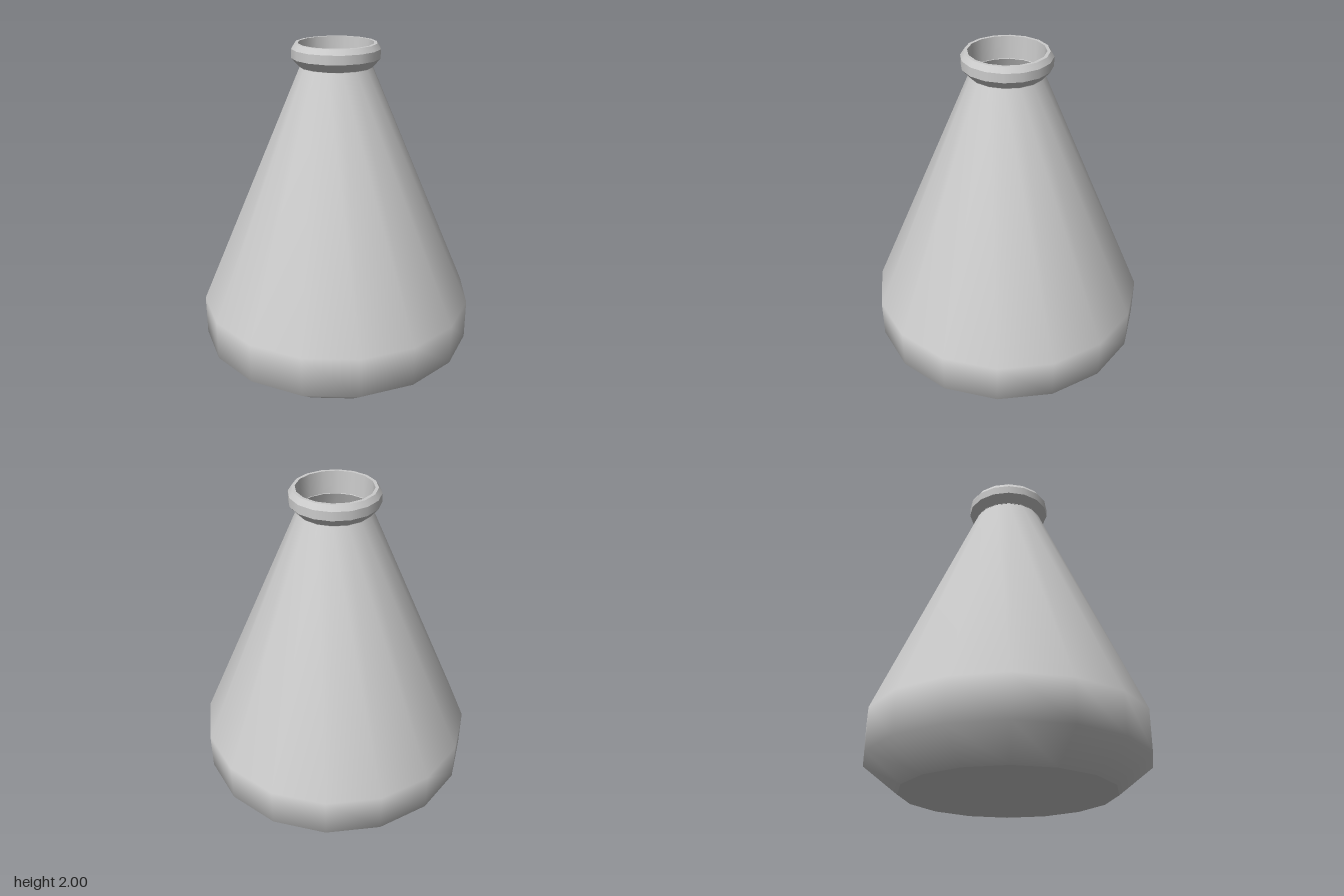
import * as THREE from 'three';

const SIDES = 16;
const TWIST = 0.032; // slight turn of the vertex ring

export function createModel() {
  const group = new THREE.Group();
  const material = new THREE.MeshStandardMaterial({ color: 0xcccccc, side: THREE.DoubleSide });

  // Smooth surface of revolution from [radius, height] points
  const turn = (name, points) => {
    const profile = points.map(([r, y]) => new THREE.Vector2(r, y));
    const mesh = new THREE.Mesh(new THREE.LatheGeometry(profile, SIDES, TWIST), material);
    mesh.name = name;
    group.add(mesh);
  };

  // Shallow pointed base, also the floor seen through the mouth
  turn('base', [[0, 0], [0.61, 0.08]]);

  // Rounded lower body and tapering shoulder, open at the neck
  turn('body', [[0.61, 0.08], [0.81, 0.237], [0.81, 0.475], [0.205, 1.87]]);

  // Lip: each band is separate so its edges stay sharp
  const lip = [[0.205, 1.87], [0.25, 1.92], [0.25, 1.97], [0.23, 2], [0.212, 2], [0.207, 1.87]];
  for (let i = 0; i < lip.length - 1; i++) turn('lipBand' + (i + 1), [lip[i], lip[i + 1]]);

  return group;
}
